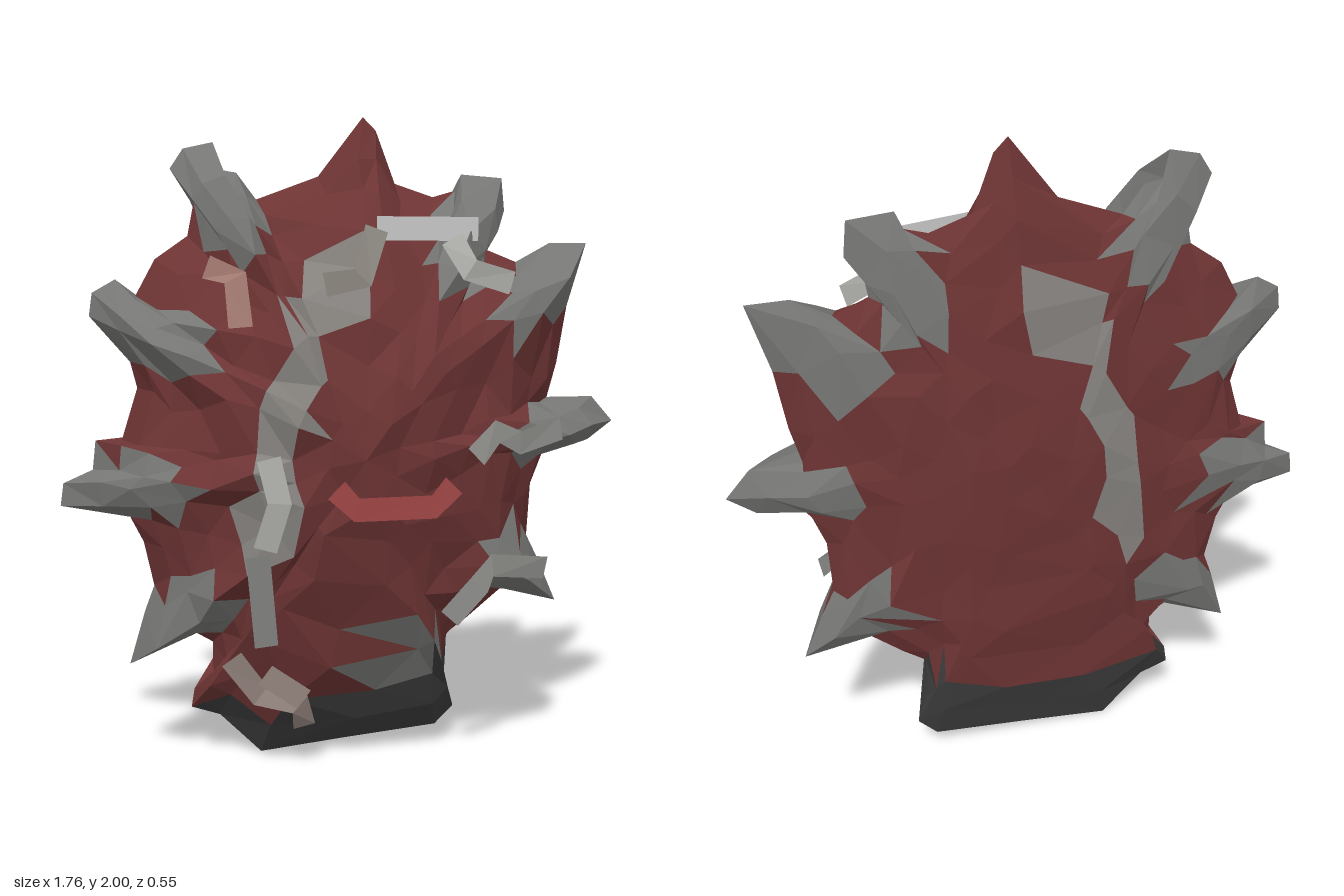
import * as THREE from 'three';

// Rim of the shell, clockwise from the top tip
const rim = [
  [0.06, 2], [0.1, 1.96], [0.16, 1.8], [0.28, 1.76], [0.35, 1.78], [0.37, 1.83], [0.5, 1.82], [0.51, 1.72],
  [0.46, 1.66], [0.45, 1.6], [0.55, 1.56], [0.66, 1.62], [0.78, 1.62], [0.72, 1.42], [0.69, 1.24], [0.66, 1.13],
  [0.81, 1.13], [0.88, 1.05], [0.8, 0.99], [0.66, 0.98], [0.61, 0.85], [0.6, 0.68], [0.64, 0.6], [0.7, 0.46],
  [0.52, 0.51], [0.4, 0.41], [0.33, 0.36], [0.33, 0.22], [0.36, 0.12], [0.3, 0.06], [0, 0.03], [-0.27, 0],
  [-0.4, 0.13], [-0.49, 0.16], [-0.48, 0.22], [-0.42, 0.26], [-0.42, 0.37], [-0.47, 0.4], [-0.68, 0.31], [-0.63, 0.48],
  [-0.6, 0.56], [-0.63, 0.7], [-0.67, 0.78], [-0.88, 0.82], [-0.87, 0.89], [-0.78, 0.93], [-0.77, 1.02], [-0.69, 1.02],
  [-0.64, 1.18], [-0.66, 1.26], [-0.78, 1.4], [-0.77, 1.47], [-0.7, 1.51], [-0.64, 1.46], [-0.58, 1.57], [-0.48, 1.64],
  [-0.46, 1.74], [-0.53, 1.84], [-0.49, 1.9], [-0.4, 1.92], [-0.39, 1.84], [-0.33, 1.83], [-0.27, 1.75], [-0.08, 1.82],
];
const spikeTips = [[0.45, 1.8], [0.76, 1.6], [0.86, 1.05], [0.68, 0.48], [-0.66, 0.33], [-0.86, 0.86], [-0.76, 1.45], [-0.47, 1.9]];
const ridgePath = [[0, 1.62], [-0.13, 1.42], [-0.19, 1.2], [-0.25, 1], [-0.28, 0.75]];
const foldPath = [[0.42, 1.46], [0.22, 1.27], [0.1, 1.17], [-0.04, 1.04]];
const RIM_Z = -0.165;
const CENTRE_Y = 1;

let seed = 7;
const rand = () => {
  seed = (seed * 16807) % 2147483647;
  return seed / 2147483647 - 0.5;
};

function segmentDistance(x, y, [ax, ay], [bx, by]) {
  const dx = bx - ax, dy = by - ay;
  const k = THREE.MathUtils.clamp(((x - ax) * dx + (y - ay) * dy) / (dx * dx + dy * dy), 0, 1);
  return Math.hypot(x - ax - k * dx, y - ay - k * dy);
}

function pathDistance(x, y, path) {
  let best = 9;
  for (let i = 1; i < path.length; i++) best = Math.min(best, segmentDistance(x, y, path[i - 1], path[i]));
  return best;
}

// Each spike is a line from its tip some way towards the centre
const spikeDistance = (x, y) => Math.min(...spikeTips.map(([sx, sy]) => {
  const k = 1 - 0.27 / Math.hypot(sx, sy - CENTRE_Y);
  return segmentDistance(x, y, [sx, sy], [sx * k, CENTRE_Y + (sy - CENTRE_Y) * k]);
}));

// One ring of points: the rim shape, easing to an oval core towards the middle
function makeRing(t, count, depth, power) {
  const ring = [];
  for (let i = 0; i < count; i++) {
    const shift = t < 0.95 ? rand() * 0.45 : 0;
    const u = ((i + shift + count) % count) / count * rim.length;
    const a = rim[Math.floor(u) % rim.length], b = rim[(Math.floor(u) + 1) % rim.length], f = u % 1;
    const x = a[0] + (b[0] - a[0]) * f, y = a[1] + (b[1] - a[1]) * f - CENTRE_Y;
    const r = Math.hypot(x, y);
    const core = 1 / Math.hypot(x / r / 0.66, y / r / 0.85);
    const k = t * THREE.MathUtils.lerp(core, r, t * t) / r;
    const px = x * k, py = CENTRE_Y + y * k;
    let h = Math.pow(1 - t * t, power) * Math.abs(depth);
    if (t < 1) {
      // raised ridge, fold and spike crests, plus a rough surface
      const bump = 0.03 * Math.exp(-((pathDistance(px, py, ridgePath) / 0.07) ** 2))
        + 0.02 * Math.exp(-((pathDistance(px, py, foldPath) / 0.06) ** 2))
        + 0.06 * t * Math.exp(-((spikeDistance(px, py) / 0.06) ** 2));
      h += (depth > 0 ? bump : bump * 0.2) + rand() * (depth > 0 ? 0.05 : 0.018);
    }
    ring.push([px, py, RIM_Z + Math.sign(depth) * Math.max(h, 0)]);
  }
  return ring;
}

// Join two rings of different counts with triangles
function stitch(outer, inner, flip, emit) {
  let i = 0, j = 0;
  const n = outer.length, m = inner.length, steps = m === 1 ? 0 : m;
  while (i < n || j < steps) {
    const a = outer[i % n], b = inner[j % m];
    if (j >= steps || (i < n && (i + 0.5) / n <= (j + 0.5) / m)) {
      const c = outer[++i % n];
      flip ? emit(c, a, b) : emit(a, c, b);
    } else {
      const c = inner[++j % m];
      flip ? emit(a, b, c) : emit(a, c, b);
    }
  }
}

function material(color) {
  return new THREE.MeshStandardMaterial({ color, flatShading: true, side: THREE.DoubleSide });
}

function makeMesh(name, positions, color) {
  const geometry = new THREE.BufferGeometry();
  geometry.setAttribute('position', new THREE.Float32BufferAttribute(positions, 3));
  geometry.computeVertexNormals();
  const mesh = new THREE.Mesh(geometry, material(color));
  mesh.name = name;
  return mesh;
}

function regionOf(x, y, front) {
  if (y < 0.2 + (front ? 0.25 * Math.max(x, 0) : 0.06)) return 'base';
  if (x > 0.24 && y < 0.36) return 'base';
  if (spikeDistance(x, y) < 0.1) return 'spikes';
  if (pathDistance(x, y, ridgePath) < 0.065) return 'ridge';
  if (front && Math.hypot(x - 0.17, y - 0.35) < 0.12) return 'spikes';
  return 'flesh';
}

// Thin strip following the swell of the front
function makeRibbon(name, path, color, width = 0.07) {
  const left = [], right = [], out = [];
  path.forEach(([x, y], i) => {
    const p = path[Math.max(i - 1, 0)], q = path[Math.min(i + 1, path.length - 1)];
    const dx = q[0] - p[0], dy = q[1] - p[1], l = Math.hypot(dx, dy);
    const swell = Math.max(0, 1 - (x / 0.84) ** 2 - (y - CENTRE_Y) ** 2);
    const z = RIM_Z + 0.42 * Math.pow(swell, 0.72) + 0.02;
    const ox = -dy / l * width / 2, oy = dx / l * width / 2;
    left.push([x + ox, y + oy, z]);
    right.push([x - ox, y - oy, z]);
  });
  for (let i = 1; i < path.length; i++) {
    out.push(...right[i - 1], ...right[i], ...left[i], ...right[i - 1], ...left[i], ...left[i - 1]);
  }
  return makeMesh(name, out, color);
}

export function createModel() {
  const group = new THREE.Group();

  // Faceted shell, front and back, sorted into coloured regions
  const regions = { flesh: [], spikes: [], ridge: [], base: [] };
  const levels = [[1, 64], [0.92, 64], [0.83, 56], [0.72, 44], [0.6, 34], [0.46, 26], [0.31, 18], [0.16, 9], [0, 1]];
  for (const [depth, power, keep] of [[0.4, 0.75, 1], [-0.108, 0.6, 0.7]]) {
    const front = depth > 0;
    const rings = levels.map(([t, n]) => makeRing(t, t === 1 || n === 1 ? n : Math.round(n * keep), depth, power));
    const emit = (a, b, c) => {
      const x = (a[0] + b[0] + c[0]) / 3, y = (a[1] + b[1] + c[1]) / 3;
      regions[regionOf(x, y, front)].push(...a, ...b, ...c);
    };
    for (let i = 1; i < rings.length; i++) stitch(rings[i - 1], rings[i], front, emit);
  }
  const colors = { flesh: 0x6e3434, spikes: 0x767674, ridge: 0x85827e, base: 0x3c3c3c };
  for (const name in regions) group.add(makeMesh(name, regions[name], colors[name]));

  // Ribbons lying over the front
  const grey = 0xb4b4b0;
  const ribbons = [
    ['topRibbon', [[0.05, 1.66], [0.37, 1.66]], 0xcccccc],
    ['upperLeftRibbon', [[0.28, 1.63], [0.33, 1.54], [0.47, 1.5]], grey],
    ['upperRidgeRibbon', [[0.05, 1.66], [0, 1.52], [-0.11, 1.5]], 0x8c8780],
    ['middleLeftRibbon', [[0.33, 1], [0.4, 1.07], [0.48, 1.03], [0.63, 1.06]], 0x8f8f8c],
    ['lowerLeftRibbon', [[0.27, 0.5], [0.36, 0.6], [0.4, 0.66], [0.6, 0.62]], 0x8f8f8c],
    ['middleRightRibbon', [[-0.28, 1.01], [-0.25, 0.88], [-0.29, 0.74]], grey],
    ['lowerRightRibbon', [[-0.31, 0.72], [-0.28, 0.43]], 0x8f8f8c],
    ['bottomRibbon', [[-0.38, 0.38], [-0.29, 0.25], [-0.17, 0.22], [-0.15, 0.13]], 0x9a8a84],
    ['bottomShortRibbon', [[-0.28, 0.33], [-0.16, 0.24]], 0x9a8a84],
    ['upperRightRibbon', [[-0.44, 1.55], [-0.36, 1.52], [-0.35, 1.38]], 0xa07870],
    ['redRibbon', [[-0.09, 0.92], [-0.03, 0.86], [0.2, 0.86], [0.26, 0.92]], 0xa04646],
  ];
  for (const [name, path, color] of ribbons) group.add(makeRibbon(name, path, color));
  return group;
}
